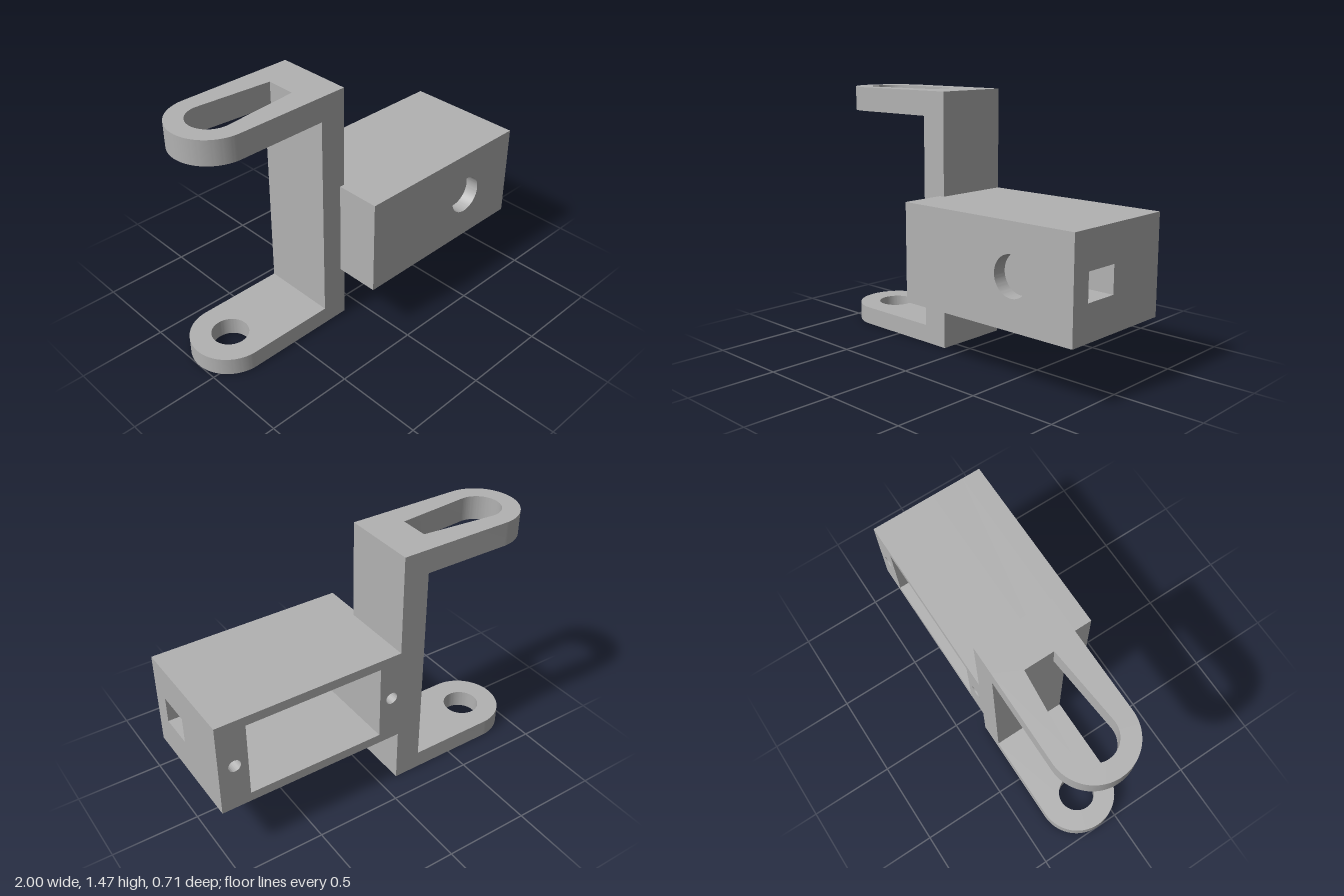
import * as THREE from 'three';
import { toCreasedNormals } from 'three/addons/utils/BufferGeometryUtils.js';

const grey = new THREE.MeshStandardMaterial({ color: 0xb2b2b2 });
grey.name = 'grey';

const polygon = (pts) => new THREE.Shape(pts.map(([x, y]) => new THREE.Vector2(x, y)));
const rect = (x0, x1, y0, y1) => polygon([[x0, y0], [x1, y0], [x1, y1], [x0, y1]]);
const circle = (x, y, r) => new THREE.Path().absarc(x, y, r, 0, Math.PI * 2, true);

function extrude(shape, depth) {
  return new THREE.ExtrudeGeometry(shape, { depth, bevelEnabled: false, curveSegments: 40 });
}

function addMesh(parent, name, geometry) {
  const mesh = new THREE.Mesh(toCreasedNormals(geometry, 0.5), grey);
  mesh.name = name;
  parent.add(mesh);
}

// Bracket proportions
const WEB = { x0: -0.265, x1: -0.11, z0: -0.355, z1: 0.095 };
const ARM = { x: -0.775, z: -0.13, r: 0.225 };

// Round-ended arm lying flat, with one hole through it
function addArm(parent, name, y, thickness, hole) {
  const s = new THREE.Shape();
  s.moveTo(WEB.x0, -ARM.z - ARM.r);
  s.lineTo(WEB.x0, -ARM.z + ARM.r);
  s.lineTo(ARM.x, -ARM.z + ARM.r);
  s.absarc(ARM.x, -ARM.z, ARM.r, Math.PI / 2, Math.PI * 1.5, false);
  s.closePath();
  s.holes.push(hole);
  addMesh(parent, name, extrude(s, thickness).rotateX(-Math.PI / 2).translate(0, y, 0));
}

// Tapered slot: round at the arm tip, narrowing to a flat end
function taperedSlot() {
  const a = THREE.MathUtils.degToRad(85);
  const p = new THREE.Path();
  p.moveTo(-0.335, -ARM.z - 0.085);
  p.lineTo(-0.335, -ARM.z + 0.085);
  p.absarc(ARM.x, -ARM.z, 0.125, a, Math.PI * 2 - a, false);
  p.closePath();
  return p;
}

export function createModel() {
  const model = new THREE.Group();
  model.name = 'servoBracket';

  // C-shaped bracket
  const bracket = new THREE.Group();
  bracket.name = 'bracket';
  model.add(bracket);
  addMesh(bracket, 'web', extrude(rect(WEB.x0, WEB.x1, 0, 1.465), WEB.z1 - WEB.z0).translate(0, 0, WEB.z0));
  addArm(bracket, 'upperArm', 1.325, 0.14, taperedSlot());
  addArm(bracket, 'lowerArm', 0, 0.105, circle(ARM.x, -ARM.z, 0.105));

  // Housing, stacked in slices from back to front
  const housing = new THREE.Group();
  housing.name = 'housing';
  model.add(housing);
  const [y0, y1, left, right] = [0.325, 0.885, -0.14, 1];
  const [cx0, cx1, cy0, cy1] = [0.02, 0.83, 0.38, 0.83];
  const slice = (name, shape, z0, z1) => addMesh(housing, name, extrude(shape, z1 - z0).translate(0, 0, z0));

  // Open back rim with two blind screw holes
  const rim = rect(WEB.x1, right, y0, y1);
  rim.holes.push(rect(cx0, cx1, cy0, cy1), circle(0.908, 0.605, 0.036), circle(-0.057, 0.605, 0.036));
  slice('backRim', rim, -0.355, -0.055);

  // Plain walls around the cavity
  const walls = rect(WEB.x1, right, y0, y1);
  walls.holes.push(rect(cx0, cx1, cy0, cy1));
  slice('cavityWalls', walls, -0.055, 0.035);

  // Walls broken by the cable window in the side
  const [wy0, wy1] = [0.525, 0.68];
  slice('windowWalls', polygon([
    [left, y0], [right, y0], [right, wy0], [cx1, wy0], [cx1, cy0], [cx0, cy0],
    [cx0, cy1], [cx1, cy1], [cx1, wy1], [right, wy1], [right, y1], [left, y1],
  ]), 0.035, 0.24);

  // Front wall with a round recess
  slice('frontWall', rect(left, right, y0, y1), 0.24, 0.275);
  const face = rect(left, right, y0, y1);
  face.holes.push(circle(0.617, 0.607, 0.112));
  slice('frontFace', face, 0.275, 0.355);

  return model;
}
